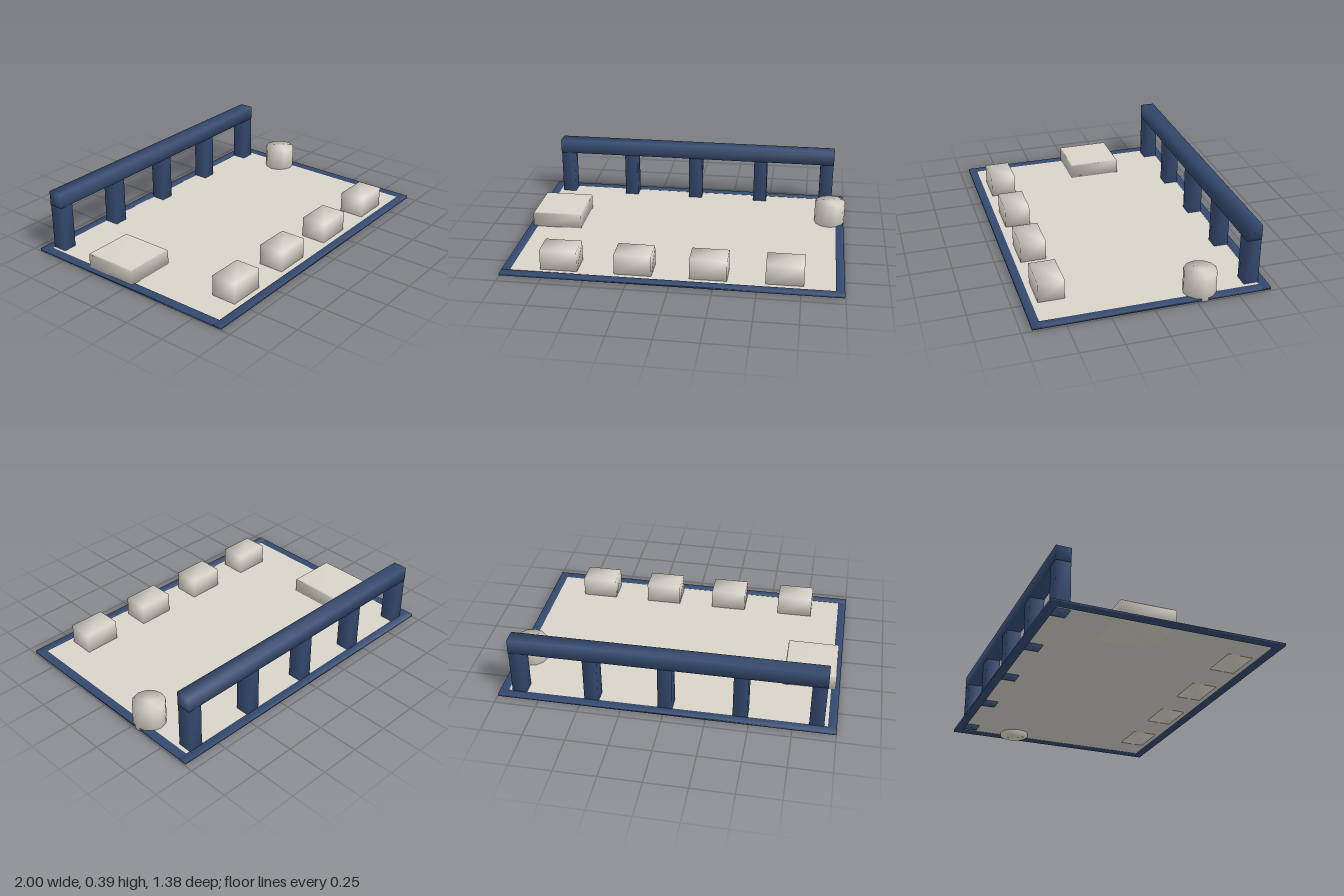
import * as THREE from 'three';
import { mergeVertices } from 'three/addons/utils/BufferGeometryUtils.js';

// Weld corners so normals run smoothly across every edge
function soften(geometry) {
  geometry.deleteAttribute('normal');
  geometry.deleteAttribute('uv');
  geometry.clearGroups();
  const welded = mergeVertices(geometry);
  welded.computeVertexNormals();
  return welded;
}

export function createModel() {
  const group = new THREE.Group();
  const navy = new THREE.MeshStandardMaterial({ color: 0x344a70 });
  navy.name = 'navy';
  const cream = new THREE.MeshStandardMaterial({ color: 0xd9d4c9 });
  cream.name = 'cream';

  const add = (name, geometry, material) => {
    const mesh = new THREE.Mesh(soften(geometry), material);
    mesh.name = name;
    group.add(mesh);
    return mesh;
  };
  // Box given by its limits on each axis
  const box = (name, material, [x0, x1], [y0, y1], [z0, z1]) => {
    const mesh = add(name, new THREE.BoxGeometry(x1 - x0, y1 - y0, z1 - z0), material);
    mesh.position.set((x0 + x1) / 2, (y0 + y1) / 2, (z0 + z1) / 2);
    return mesh;
  };

  // Floor and its border
  box('floor', cream, [-0.96, 0.96], [0.011, 0.015], [-0.66, 0.66]);
  const rim = [0.004, 0.019];
  box('frontBorder', navy, [-1, 0.995], rim, [0.64, 0.69]);
  box('backBorder', navy, [-1, 0.995], rim, [-0.695, -0.645]);
  box('leftBorder', navy, [0.945, 0.995], rim, [-0.646, 0.641]);
  box('rightBorder', navy, [-1, -0.95], rim, [-0.646, 0.641]);

  // Back colonnade: five posts under one beam
  for (let i = 0; i < 5; i++) {
    const x = -0.885 + i * 0.44;
    box('post', navy, [x - 0.043, x + 0.043], [0.006, 0.384], [-0.649, -0.561]);
  }
  box('beam', navy, [-0.93, 0.92], [0.297, 0.386], [-0.65, -0.56]);

  // Row of seats along the front
  for (let i = 0; i < 4; i++) {
    const x = -0.665 + i * 0.44;
    box('seat', cream, [x - 0.11, x + 0.11], [0.008, 0.14], [0.45, 0.605]);
  }

  // Low platform with a slightly bevelled top
  const platform = new THREE.BoxGeometry(0.31, 0.102, 0.33, 1, 2, 1);
  const p = platform.attributes.position;
  for (let i = 0; i < p.count; i++) {
    const y = p.getY(i);
    if (Math.abs(y) < 0.001) p.setY(i, 0.043);
    if (y > 0.04) p.setXYZ(i, p.getX(i) * 0.96, y, p.getZ(i) * 0.96);
  }
  add('platform', platform, cream).position.set(-0.82, 0.059, -0.135);

  // Round drum at the left edge
  add('drum', new THREE.CylinderGeometry(0.096, 0.096, 0.155, 12), cream)
    .position.set(0.904, 0.0775, -0.295);

  return group;
}
